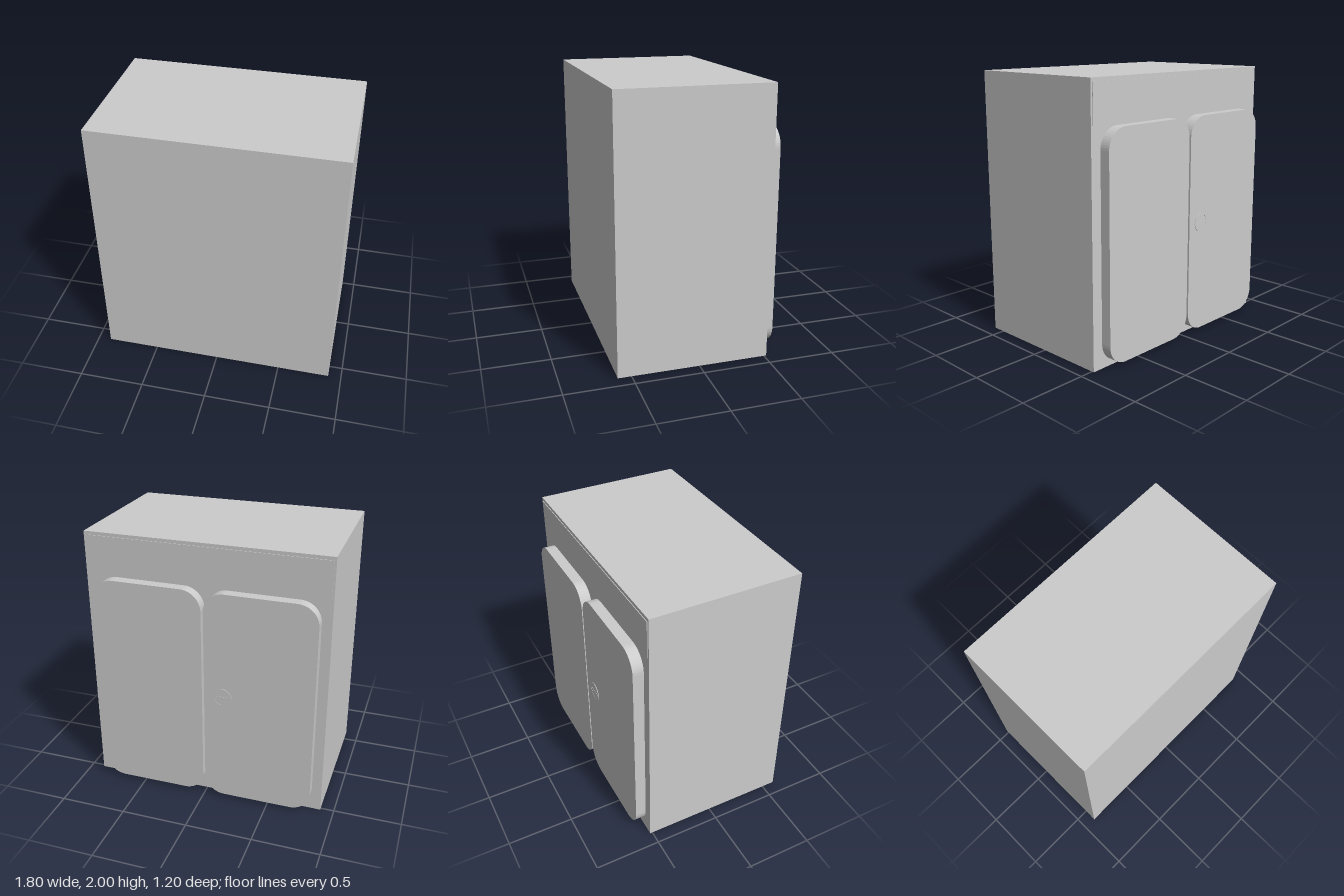
import * as THREE from 'three';

const material = new THREE.MeshStandardMaterial({ color: 0xcccccc, flatShading: true });

function add(parent, name, geometry, x = 0, y = 0, z = 0) {
  const mesh = new THREE.Mesh(geometry, material);
  mesh.name = name;
  mesh.position.set(x, y, z);
  parent.add(mesh);
  return mesh;
}

// Rectangle with rounded corners, centred on the origin
function roundedRect(w, h, r) {
  const s = new THREE.Shape();
  const x = w / 2 - r, y = h / 2 - r;
  s.absarc(x, y, r, 0, Math.PI / 2);
  s.absarc(-x, y, r, Math.PI / 2, Math.PI);
  s.absarc(-x, -y, r, Math.PI, Math.PI * 1.5);
  s.absarc(x, -y, r, Math.PI * 1.5, Math.PI * 2);
  s.closePath();
  return s;
}

const extrude = (shape, depth, curveSegments) =>
  new THREE.ExtrudeGeometry(shape, { depth, bevelEnabled: false, curveSegments });

export function createModel() {
  const model = new THREE.Group();
  model.name = 'cabinet';
  const backZ = -0.518, doorZ = -0.598, lockZ = -0.602;

  // Plain box body
  add(model, 'body', new THREE.BoxGeometry(1.8, 2, 0.6 - backZ), 0, 1, (0.6 + backZ) / 2);

  // Thin strip above the doors
  add(model, 'topPanel', new THREE.BoxGeometry(1.77, 0.28, 0.01), 0, 1.835, backZ);

  // Pair of rounded doors on the rear side
  const doorShape = roundedRect(0.814, 1.65, 0.15);
  for (const [name, x] of [['rightDoor', -0.42], ['leftDoor', 0.411]]) {
    add(model, name, extrude(doorShape, backZ - doorZ, 6), x, 0.855, doorZ);
  }

  // Round lock: rim, recessed face and turning bar
  const lock = new THREE.Group();
  lock.name = 'lock';
  lock.position.set(-0.148, 0.878, lockZ);
  model.add(lock);
  const rim = new THREE.Shape().absarc(0, 0, 0.074, 0, Math.PI * 2);
  rim.holes.push(new THREE.Path().absarc(0, 0, 0.058, 0, Math.PI * 2, true));
  add(lock, 'lockRim', extrude(rim, 0.006, 16));
  const face = new THREE.Shape().absarc(0, 0, 0.058, 0, Math.PI * 2);
  add(lock, 'lockFace', extrude(face, 0.004, 16), 0, 0, 0.002);
  add(lock, 'lockBar', new THREE.BoxGeometry(0.1, 0.018, 0.004), 0, 0, 0.002);

  return model;
}
